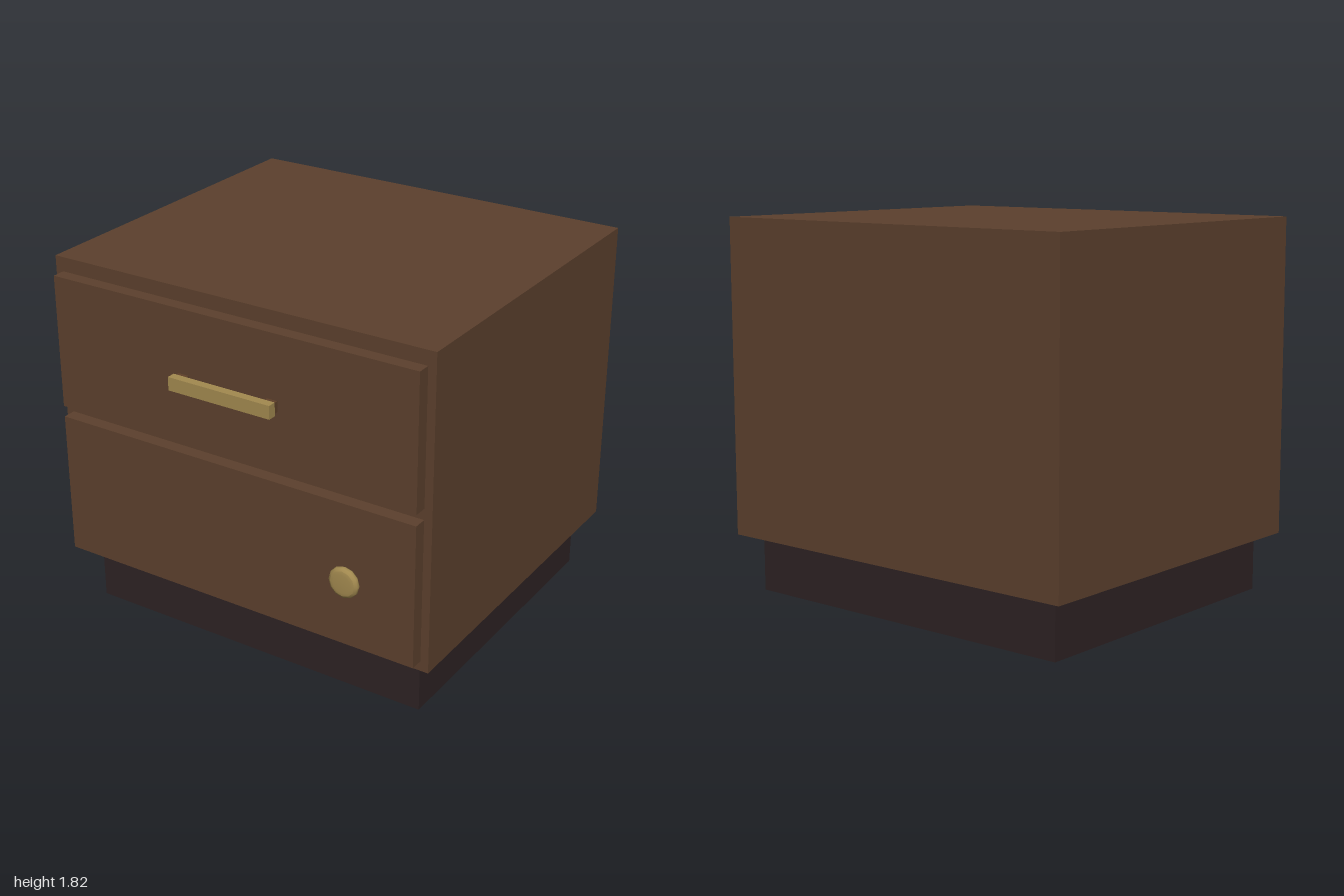
import * as THREE from 'three';

const material = (name, color) => {
  const m = new THREE.MeshStandardMaterial({ color });
  m.name = name;
  return m;
};

export function createModel() {
  const group = new THREE.Group();
  group.name = 'nightstand';
  const wood = material('walnut wood', 0x5c402d);
  const dark = material('dark plinth', 0x2d2223);
  const brass = material('brass', 0xa2894f);
  const stemBrown = material('bronze', 0x5f4029);

  const add = (name, geometry, mat) => {
    const mesh = new THREE.Mesh(geometry, mat);
    mesh.name = name;
    group.add(mesh);
    return mesh;
  };
  // Box given by its minimum and maximum on each axis
  const box = (name, mat, [x0, x1], [y0, y1], [z0, z1]) =>
    add(name, new THREE.BoxGeometry(x1 - x0, y1 - y0, z1 - z0), mat)
      .position.set((x0 + x1) / 2, (y0 + y1) / 2, (z0 + z1) / 2);

  // Recessed plinth, cabinet and overlaid fronts
  box('plinth', dark, [-0.91, 0.91], [0, 0.28], [-0.84, 0.71]);
  box('cabinet', wood, [-1, 1], [0.28, 1.82], [-0.93, 0.795]);
  box('drawerFront', wood, [-0.96, 0.96], [1.095, 1.75], [0.795, 0.86]);
  box('doorFront', wood, [-0.96, 0.96], [0.33, 1.04], [0.795, 0.86]);

  // Bar handle on two posts
  box('handleBar', brass, [-0.27, 0.27], [1.38, 1.445], [0.888, 0.93]);
  for (const x of [-0.237, 0.237]) {
    box('handlePost', stemBrown, [x - 0.027, x + 0.027], [1.387, 1.438], [0.86, 0.888]);
  }

  // Round knob: narrow stem and flared cap turned about z
  const lathe = (name, profile, mat) => {
    const points = profile.map(([r, z]) => new THREE.Vector2(r, z));
    const mesh = add(name, new THREE.LatheGeometry(points, 12), mat);
    mesh.rotation.x = Math.PI / 2;
    mesh.position.set(0.635, 0.685, 0.86);
  };
  lathe('knobStem', [[0.034, 0], [0.034, 0.025]], stemBrown);
  lathe('knobCap', [[0, 0.018], [0.034, 0.02], [0.072, 0.038], [0.077, 0.047], [0.074, 0.058], [0.062, 0.066]], brass);
  lathe('knobFace', [[0.062, 0.066], [0.045, 0.07], [0, 0.07]], brass);

  return group;
}
